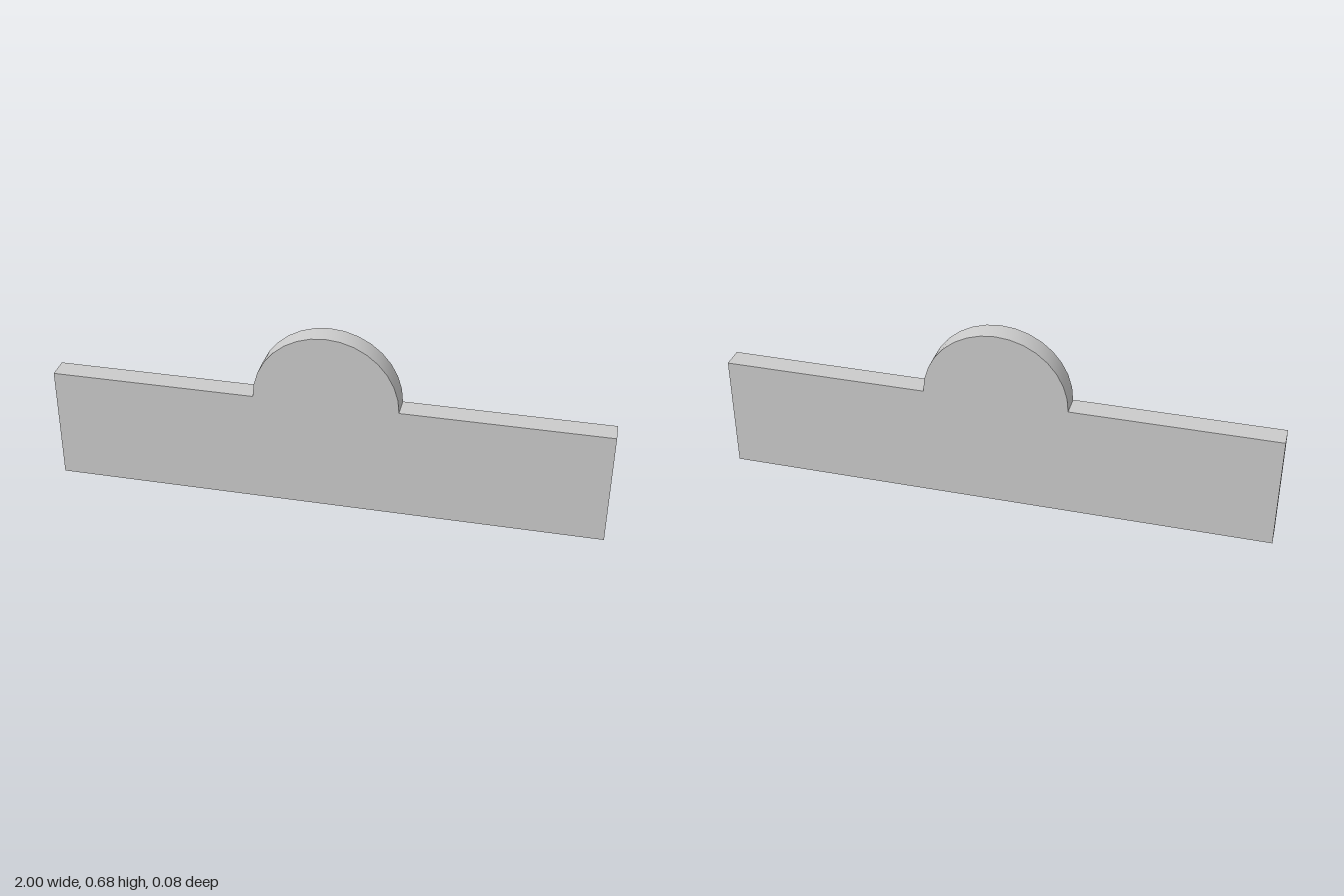
import * as THREE from 'three';
import { toCreasedNormals } from 'three/addons/utils/BufferGeometryUtils.js';

export function createModel() {
  const width = 2, shoulder = 0.424, radius = 0.26, depth = 0.08;

  // Outline: long plate with a half-round crest in the middle of the top edge
  const outline = new THREE.Shape();
  outline.moveTo(-width / 2, 0);
  outline.lineTo(width / 2, 0);
  outline.lineTo(width / 2, shoulder);
  outline.lineTo(radius, shoulder);
  outline.absarc(0, shoulder, radius, 0, Math.PI, false);
  outline.lineTo(-width / 2, shoulder);
  outline.closePath();

  const extruded = new THREE.ExtrudeGeometry(outline, { depth, bevelEnabled: false, curveSegments: 8 });
  extruded.translate(0, 0, -depth / 2);

  // Smooth shading around the crest, sharp edges elsewhere
  const plate = new THREE.Mesh(
    toCreasedNormals(extruded, 0.5),
    new THREE.MeshStandardMaterial({ color: 0xcccccc })
  );
  plate.name = 'crestedPlate';

  const group = new THREE.Group();
  group.name = 'archedHeadboard';
  group.add(plate);
  return group;
}
